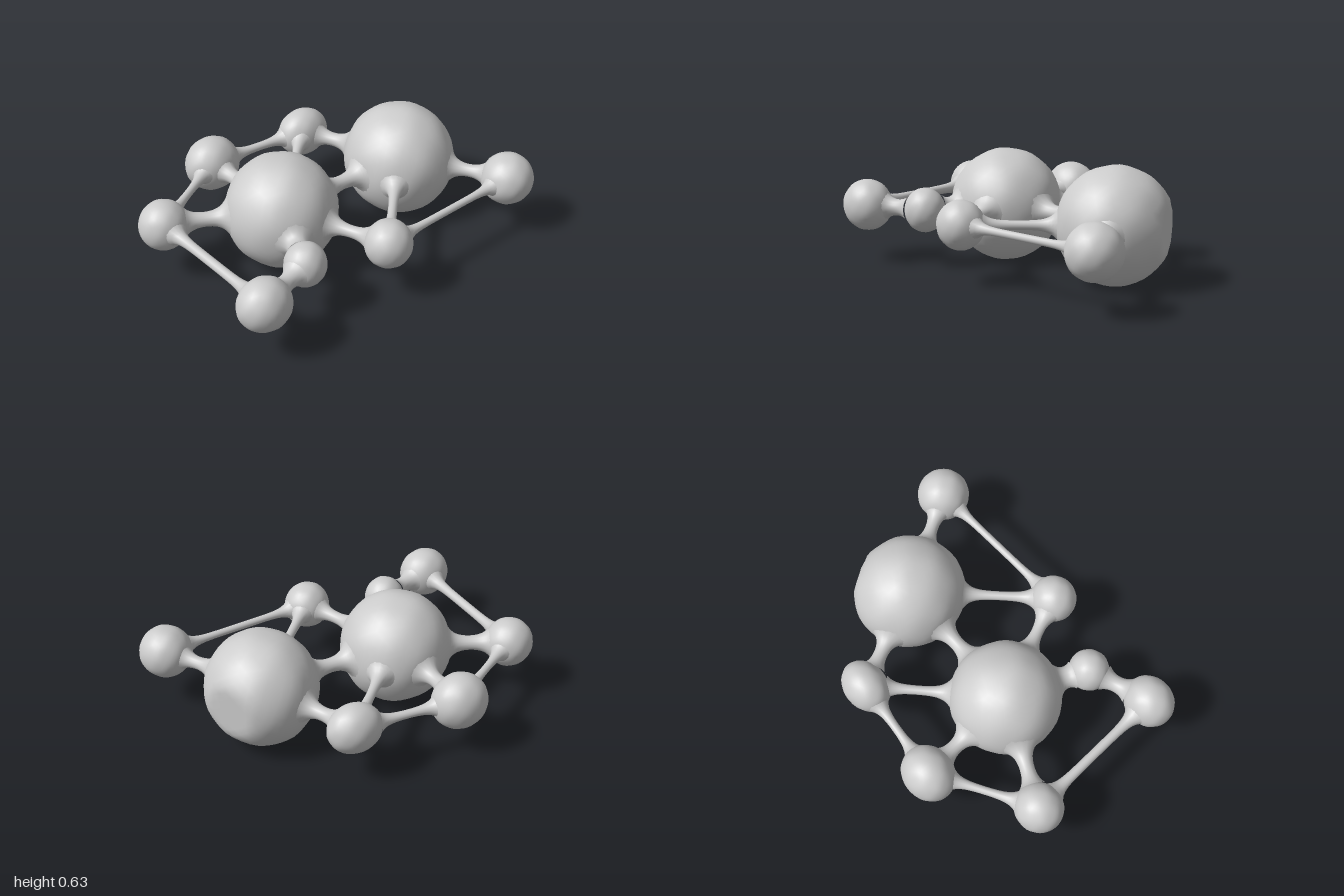
import * as THREE from 'three';
import { mergeVertices } from 'three/addons/utils/BufferGeometryUtils.js';

const material = new THREE.MeshStandardMaterial({ color: 0xcccccc });

// name: centre, radii
const BALLS = {
  backCore: { c: [0.01, 0.318, -0.52], r: [0.313, 0.315, 0.305] },
  frontCore: { c: [0.01, 0.318, 0.29], r: [0.305, 0.312, 0.305] },
  backLeftBall: { c: [0.535, 0.325, -0.855], r: [0.145, 0.145, 0.145] },
  middleLeftBall: { c: [0.585, 0.325, 0.03], r: [0.125, 0.132, 0.128] },
  innerLeftBall: { c: [0.455, 0.32, 0.465], r: [0.11, 0.122, 0.113] },
  frontLeftBall: { c: [0.58, 0.32, 0.805], r: [0.13, 0.142, 0.145] },
  frontRightBall: { c: [-0.255, 0.32, 0.86], r: [0.13, 0.138, 0.135] },
  middleRightBall: { c: [-0.575, 0.318, 0.345], r: [0.137, 0.155, 0.157] },
  backRightBall: { c: [-0.523, 0.32, -0.245], r: [0.118, 0.138, 0.152] },
};

// from, to, waist radius
const STRUTS = [
  ['backCore', 'frontCore', 0.033],
  ['backCore', 'backLeftBall', 0.028],
  ['backCore', 'middleLeftBall', 0.024],
  ['backCore', 'backRightBall', 0.03],
  ['frontCore', 'backRightBall', 0.024],
  ['frontCore', 'middleLeftBall', 0.028],
  ['frontCore', 'innerLeftBall', 0.03],
  ['frontCore', 'middleRightBall', 0.03],
  ['frontCore', 'frontRightBall', 0.034],
  ['backLeftBall', 'middleLeftBall', 0.02],
  ['backRightBall', 'middleRightBall', 0.022],
  ['middleRightBall', 'frontRightBall', 0.021],
  ['frontRightBall', 'frontLeftBall', 0.026],
  ['innerLeftBall', 'frontLeftBall', 0.032],
];

// Slightly lumpy ellipsoid, optionally sliced flat along a plane
function lumpyBall(name, { c, r }, seed, cut) {
  const raw = new THREE.IcosahedronGeometry(1, 7);
  raw.deleteAttribute('normal');
  raw.deleteAttribute('uv');
  const geo = mergeVertices(raw, 1e-4);
  const pos = geo.attributes.position;
  const v = new THREE.Vector3();
  for (let i = 0; i < pos.count; i++) {
    v.fromBufferAttribute(pos, i);
    const lump = Math.sin(7 * v.x + seed) * Math.sin(6 * v.y + 2 * seed) * Math.sin(8 * v.z + 3 * seed);
    v.multiplyScalar(1 + 0.014 * lump);
    v.set(v.x * r[0], v.y * r[1], v.z * r[2]);
    if (cut) {
      const over = v.dot(cut.normal) - cut.distance;
      if (over > 0) v.addScaledVector(cut.normal, -over);
    }
    pos.setXYZ(i, v.x, v.y, v.z);
  }
  geo.computeVertexNormals();
  const mesh = new THREE.Mesh(geo, material);
  mesh.name = name;
  mesh.position.set(...c);
  return mesh;
}

// Round strut whose ends flare out into the balls it joins
function strut(a, b, waist) {
  const A = BALLS[a], B = BALLS[b];
  const start = new THREE.Vector3(...A.c), end = new THREE.Vector3(...B.c);
  const dir = end.clone().sub(start).normalize();
  const reach = ({ r }) =>
    1 / Math.hypot(dir.x / r[0], dir.y / r[1], dir.z / r[2]);
  const inset = (ball) => reach(ball) * (reach(ball) > 0.2 ? 0.91 : 0.85);
  const flare = (ball) => (reach(ball) > 0.2 ? 0.085 : 0.04);
  start.addScaledVector(dir, inset(A));
  end.addScaledVector(dir, -inset(B));
  const length = start.distanceTo(end);
  const profile = [];
  for (let i = 0; i <= 24; i++) {
    const s = (length * i) / 24;
    const radius = waist
      + flare(A) * Math.exp(-s / 0.04)
      + flare(B) * Math.exp(-(length - s) / 0.04);
    profile.push(new THREE.Vector2(radius, s));
  }
  const mesh = new THREE.Mesh(new THREE.LatheGeometry(profile, 16), material);
  mesh.name = 'strut';
  mesh.position.copy(start);
  mesh.quaternion.setFromUnitVectors(new THREE.Vector3(0, 1, 0), dir);
  return mesh;
}

export function createModel() {
  const model = new THREE.Group();
  model.name = 'ballAndStrutCluster';

  // Balls; the rear core has one flat face
  const flat = { normal: new THREE.Vector3(-0.46, 0, -0.89).normalize(), distance: 0.27 };
  Object.entries(BALLS).forEach(([name, ball], i) => {
    model.add(lumpyBall(name, ball, 1 + i * 1.7, name === 'backCore' ? flat : null));
  });

  // Connecting struts
  for (const [a, b, waist] of STRUTS) model.add(strut(a, b, waist));
  return model;
}
